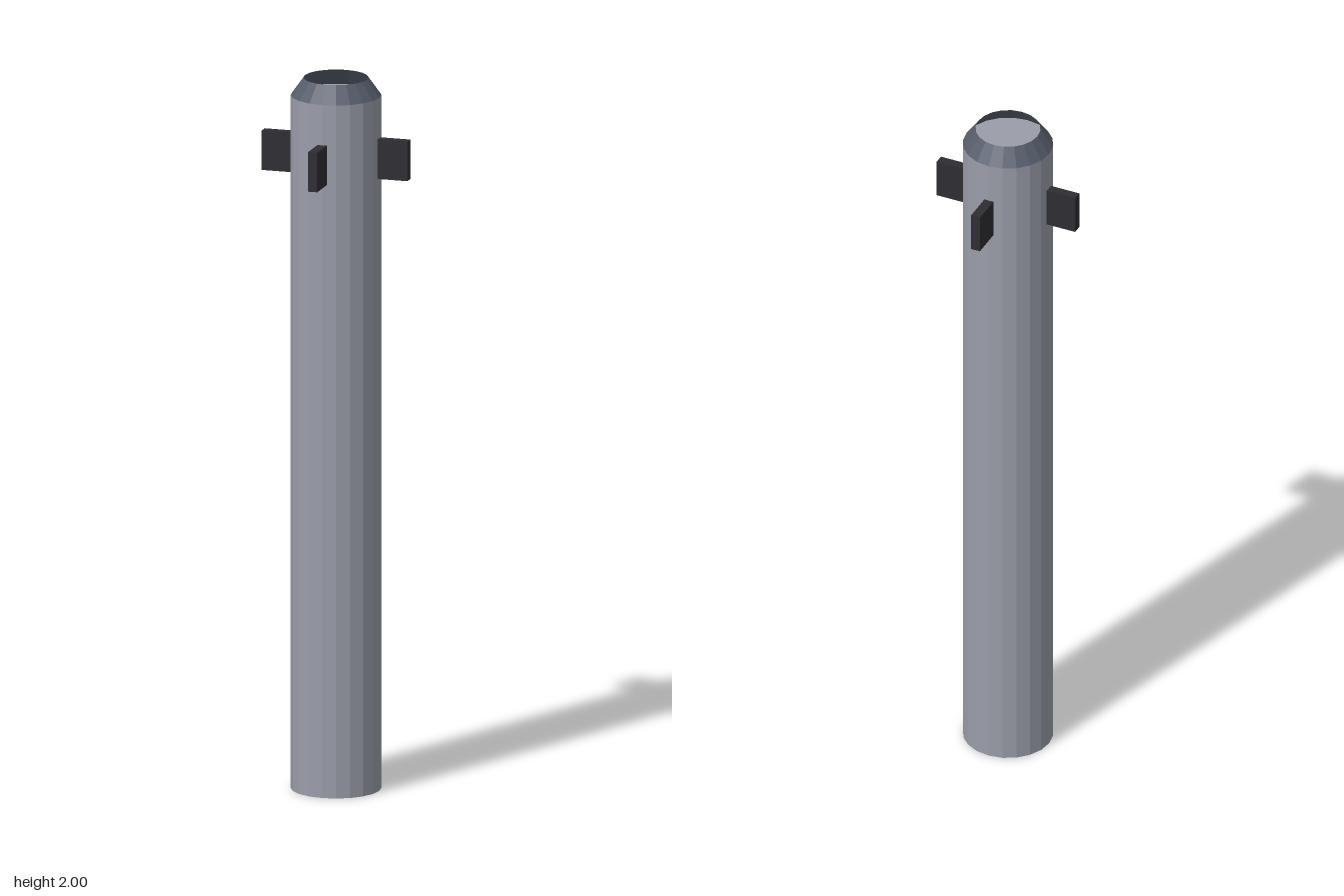
import * as THREE from 'three';

export function createModel() {
  const group = new THREE.Group();
  const R = 0.124, SIDES = 20, BODY_TOP = 1.951;

  const bodyGrey = new THREE.MeshStandardMaterial({ color: 0x9a9da9, flatShading: true });
  bodyGrey.name = 'body grey';
  const collarSlate = new THREE.MeshStandardMaterial({ color: 0x555c6a, flatShading: true, side: THREE.DoubleSide });
  collarSlate.name = 'collar slate';
  const finBlack = new THREE.MeshStandardMaterial({ color: 0x2e2d32, flatShading: true });
  finBlack.name = 'fin black';

  const add = (name, geometry, material) => {
    const mesh = new THREE.Mesh(geometry, material);
    mesh.name = name;
    group.add(mesh);
    return mesh;
  };

  // Closed main tube
  add('body', new THREE.CylinderGeometry(R, R, BODY_TOP, SIDES), bodyGrey).position.y = BODY_TOP / 2;

  // Open tapered collar; the body's top shows through it
  const collarHeight = 2 - BODY_TOP;
  add('collar', new THREE.CylinderGeometry(0.089, R, collarHeight, SIDES, 1, true), collarSlate)
    .position.y = BODY_TOP + collarHeight / 2;

  // Four small fins around the upper body
  const inner = 0.123, outer = 0.209;
  const finGeometry = new THREE.BoxGeometry(outer - inner, 0.111, 0.027);
  finGeometry.translate((inner + outer) / 2, 1.782, 0);
  for (let i = 0; i < 4; i++) {
    add('fin' + (i + 1), finGeometry, finBlack).rotation.y = i * Math.PI / 2;
  }

  return group;
}
